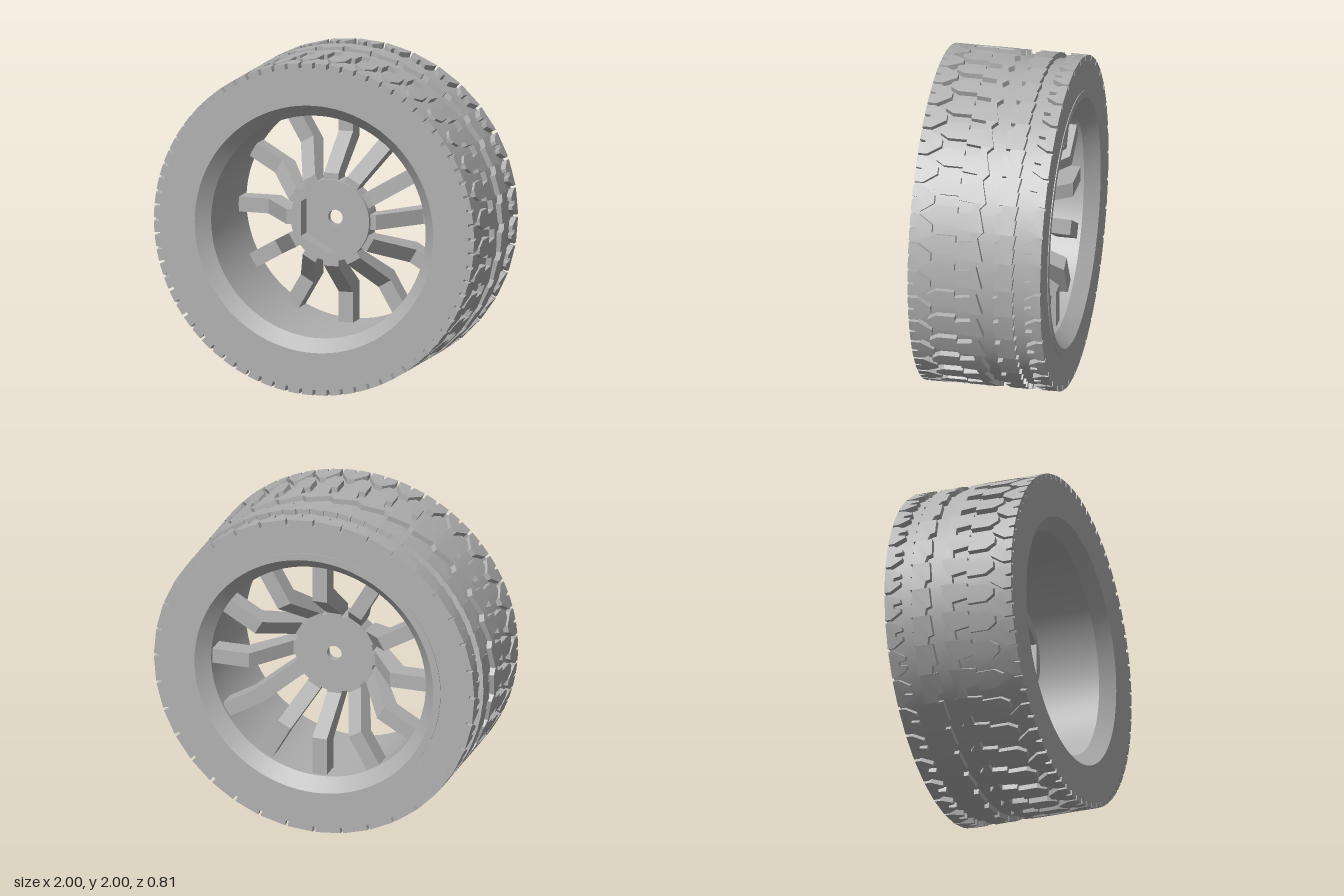
import * as THREE from 'three';
import { mergeGeometries, toCreasedNormals } from 'three/addons/utils/BufferGeometryUtils.js';

const grey = new THREE.MeshStandardMaterial({ color: 0xb0b0b0 });
grey.name = 'grey';

const PITCHES = 36;
const FLOOR = 0.967; // bottom of the tread grooves
const OUTER = 1.0;

function part(name, geometry) {
  const mesh = new THREE.Mesh(geometry, grey);
  mesh.name = name;
  return mesh;
}

function polygon(points) {
  return new THREE.Shape(points.map(([x, y]) => new THREE.Vector2(x, y)));
}

// Closed (radius, z) profile turned around the axle
function turned(profile) {
  const points = [...profile, profile[0]].map(([r, z]) => new THREE.Vector2(r, z));
  const geometry = new THREE.LatheGeometry(points, 96);
  geometry.rotateX(Math.PI / 2);
  return toCreasedNormals(geometry, 0.3);
}

// Repeats an outline (u = fraction of a pitch, z) around the tyre as raised blocks
function treadRing(outline) {
  const depth = OUTER - FLOOR + 0.015;
  const block = new THREE.ExtrudeGeometry(polygon(outline), { depth, bevelEnabled: false });
  const step = (Math.PI * 2) / PITCHES;
  const blocks = [];
  for (let i = 0; i < PITCHES; i++) {
    const copy = block.clone();
    const p = copy.attributes.position;
    for (let k = 0; k < p.count; k++) {
      const angle = (i + p.getX(k)) * step;
      const r = OUTER - depth + p.getZ(k);
      p.setXYZ(k, r * Math.cos(angle), r * Math.sin(angle), p.getY(k));
    }
    blocks.push(copy);
  }
  return toCreasedNormals(mergeGeometries(blocks), 0.3);
}

function disc(outer, hole, sides, depth, z) {
  const shape = new THREE.Shape().absarc(0, 0, outer, 0, Math.PI * 2);
  const cut = [];
  for (let i = 0; i < sides; i++) {
    const a = Math.PI / 2 + (i * Math.PI * 2) / sides;
    cut.push(new THREE.Vector2(hole * Math.cos(a), hole * Math.sin(a)));
  }
  shape.holes.push(new THREE.Path(cut));
  const geometry = new THREE.ExtrudeGeometry(shape, { depth, bevelEnabled: false, curveSegments: 48 });
  geometry.translate(0, 0, z);
  return toCreasedNormals(geometry, 0.4);
}

export function createModel() {
  const model = new THREE.Group();
  model.name = 'wheel';
  const wheel = new THREE.Group();
  wheel.name = 'wheelAssembly';
  wheel.position.y = 1;
  model.add(wheel);

  // Tyre carcass with flat sidewalls
  wheel.add(part('tyre', turned([[FLOOR, -0.4], [FLOOR, 0.4], [0.78, 0.4], [0.78, -0.4]])));

  // Rim with a tapered lip on both sides and a slightly raised rear flange
  wheel.add(part('rim', turned([
    [0.79, -0.405], [0.79, 0.4], [0.745, 0.4], [0.67, 0.32], [0.67, -0.32], [0.745, -0.405],
  ])));

  // Tread bands from rear to front
  const treads = {
    rearShoulderBlocks: [
      [0.05, -0.4], [0.95, -0.4], [0.95, -0.365], [0.72, -0.3], [0.6, -0.3],
      [0.56, -0.345], [0.44, -0.345], [0.4, -0.3], [0.28, -0.3], [0.05, -0.365],
    ],
    rearRib: [
      [0, -0.225], [0.5, -0.235], [0.5, -0.225], [1, -0.24],
      [1, -0.15], [0.75, -0.14], [0.7, -0.11], [0, -0.12],
    ],
    centreLugs: [
      [0, -0.045], [0.8, -0.01], [1, -0.04], [1, 0.03], [0.68, 0.025], [0.6, 0.12], [0.82, 0.12],
      [0.82, 0.235], [0.62, 0.285], [0.38, 0.285], [0.2, 0.235], [0.2, 0.12], [0.06, 0.12], [0, 0.03],
    ],
    frontShoulderBlocks: [
      [0.56, 0.4], [0.56, 0.345], [0.72, 0.305], [0.88, 0.265], [1.14, 0.265],
      [1.3, 0.305], [1.46, 0.345], [1.46, 0.4], [1.07, 0.4], [1.04, 0.365], [0.98, 0.365], [0.95, 0.4],
    ],
  };
  for (const [name, outline] of Object.entries(treads)) wheel.add(part(name, treadRing(outline)));

  // Hub: hexagonal socket in front, thin floor with the axle hole behind
  wheel.add(part('hubSocket', disc(0.245, 0.208, 6, 0.1, 0.01)));
  wheel.add(part('hubFloor', disc(0.245, 0.045, 32, 0.04, -0.03)));

  // Twelve cranked spokes, high at the hub and set back at the rim
  const width = 0.09;
  const spoke = new THREE.ExtrudeGeometry(polygon([
    [0.235, 0.085], [0.28, 0.085], [0.485, -0.18], [0.69, -0.18],
    [0.69, -0.3], [0.44, -0.3], [0.255, -0.03], [0.235, -0.03],
  ]), { depth: width, bevelEnabled: false });
  spoke.translate(0, 0, -width / 2);
  spoke.rotateX(Math.PI / 2);
  for (let i = 0; i < 12; i++) {
    const mesh = part('spoke', spoke);
    mesh.rotation.z = (i * Math.PI) / 6;
    wheel.add(mesh);
  }
  return model;
}
